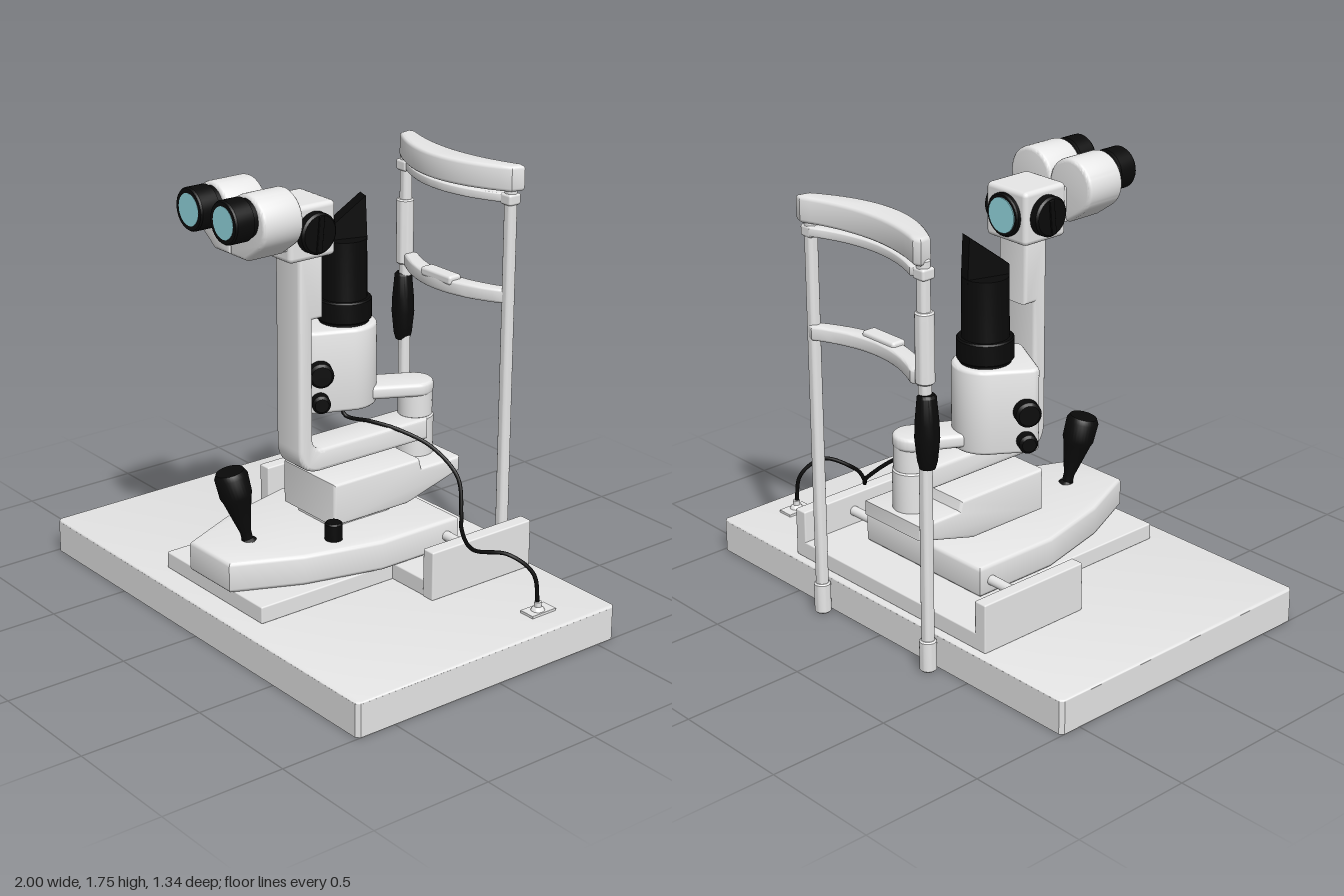
import * as THREE from 'three';
import { toCreasedNormals } from 'three/addons/utils/BufferGeometryUtils.js';
import { RoundedBoxGeometry } from 'three/addons/geometries/RoundedBoxGeometry.js';

const mat = (name, color) => Object.assign(new THREE.MeshStandardMaterial({ color }), { name });

export function createModel() {
  const M = {
    shell: mat('light grey shell', 0xf4f4f4),
    table: mat('table grey', 0xe5e5e5),
    black: mat('black rubber', 0x0a0a0a),
    glass: mat('pale blue glass', 0x98dde6),
  };
  const root = new THREE.Group();
  root.name = 'slitLamp';

  const add = (name, geo, material, parent = root) => {
    const mesh = new THREE.Mesh(geo, material);
    mesh.name = name;
    parent.add(mesh);
    return mesh;
  };
  const box = (name, x0, x1, y0, y1, z0, z1, material = M.shell, r = 0.006) => {
    const mesh = add(name, new RoundedBoxGeometry(x1 - x0, y1 - y0, z1 - z0, 2, r), material);
    mesh.position.set((x0 + x1) / 2, (y0 + y1) / 2, (z0 + z1) / 2);
    return mesh;
  };
  // Lathe about the vertical axis from [radius, height] pairs
  const turned = (name, profile, x, z, material, parent = root) => {
    const pts = profile.map(([r, y]) => new THREE.Vector2(r, y));
    const mesh = add(name, toCreasedNormals(new THREE.LatheGeometry(pts, 32), 0.6), material, parent);
    mesh.position.set(x, 0, z);
    return mesh;
  };
  const rod = (r, y0, y1, b = 0.006) => [[0, y0], [r - b, y0], [r, y0 + b], [r, y1 - b], [r - b, y1], [0, y1]];
  const poly = (pts) => new THREE.Shape(pts.map(([a, b]) => new THREE.Vector2(a, b)));
  const extrude = (shape, depth, b) => {
    const geo = new THREE.ExtrudeGeometry(shape, {
      depth: depth - 2 * b, bevelEnabled: b > 0, bevelThickness: b, bevelSize: b,
      bevelOffset: -b, bevelSegments: 3, curveSegments: 16,
    });
    return toCreasedNormals(geo.translate(0, 0, b), 0.6);
  };
  // Plan outlines are drawn as (x, -z) and rise from y0 to y1
  const plan = (name, shape, y0, y1, b, material = M.shell, parent = root) =>
    add(name, extrude(shape, y1 - y0, b).rotateX(-Math.PI / 2).translate(0, y0, 0), material, parent);
  // Side outlines are drawn as (z, y) and span x0 to x1
  const side = (name, shape, x0, x1, b) =>
    add(name, extrude(shape, x1 - x0, b).rotateY(-Math.PI / 2).translate(x1, 0, 0), M.shell);

  // Table: shell open underneath
  const rect = (i) => {
    const x = 1 - i, f = 0.67 - i, k = 0.59 - i, c = 0.015;
    return [[-x + c, -f], [x - c, -f], [x, -f + c], [x, k - c], [x - c, k], [-x + c, k], [-x, k - c], [-x, -f + c]];
  };
  const rim = poly(rect(0));
  rim.holes.push(poly(rect(0.012)));
  plan('tableSkirt', rim, 0, 0.133, 0, M.table);
  plan('tableTop', poly(rect(0)), 0.124, 0.14, 0.008, M.table);

  // Guide rail bed
  box('railBed', -0.52, 0.5, 0.14, 0.21, -0.562, -0.062);
  box('frontBed', -0.33, 0.3, 0.14, 0.21, -0.1, 0.572);
  box('railEndRight', -0.567, -0.51, 0.14, 0.342, -0.562, -0.058);
  box('railEndLeft', 0.487, 0.545, 0.14, 0.342, -0.562, -0.058);
  add('rail', new THREE.CylinderGeometry(0.02, 0.02, 1.02, 24).rotateZ(Math.PI / 2), M.shell).position.set(-0.01, 0.268, -0.31);

  // Sliding carriage
  plan('carriage', poly([[-0.13, -0.598], [0.13, -0.598], [0.25, -0.33], [0.33, -0.01], [0.33, 0.37],
    [-0.33, 0.37], [-0.33, -0.01], [-0.25, -0.33]]), 0.21, 0.335, 0.016);
  box('carriageNeck', -0.11, 0.11, 0.33, 0.4, -0.2, 0.09);
  side('armBase', poly([[0.12, 0.365], [0.12, 0.54], [-0.31, 0.54], [-0.32, 0.5], [-0.52, 0.5],
    [-0.52, 0.44], [-0.25, 0.365]]), -0.165, 0.165, 0.012);
  turned('lockKnob', rod(0.035, 0.33, 0.407), 0.195, 0.148, M.black);

  // Joystick, leaning forward
  const stick = turned('joystick', [[0.035, 0], [0.022, 0.012], [0.022, 0.04], [0.056, 0.18], [0.064, 0.2],
    [0.066, 0.28], [0.055, 0.3], [0, 0.3]], 0, 0, M.black);
  stick.position.set(-0.005, 0.33, 0.412);
  stick.quaternion.setFromUnitVectors(new THREE.Vector3(0, 1, 0), new THREE.Vector3(-0.035, 0.29, 0.055).normalize());

  // Pivot and microscope arm
  turned('pivotLower', rod(0.075, 0.49, 0.665), 0, -0.418, M.shell);
  turned('pivotUpper', rod(0.07, 0.66, 0.805), 0, -0.418, M.shell);
  const arm = new THREE.Shape();
  arm.moveTo(-0.42, 0.575).lineTo(0.12, 0.575).quadraticCurveTo(0.225, 0.575, 0.225, 0.68);
  arm.lineTo(0.225, 1.47).lineTo(0.11, 1.47).lineTo(0.11, 1.2).lineTo(0.16, 1.2).lineTo(0.16, 0.72);
  arm.quadraticCurveTo(0.16, 0.665, 0.1, 0.665).lineTo(-0.42, 0.665);
  side('microscopeArm', arm, -0.068, 0.085, 0.015);

  // Lamp assembly, turned about its pivot; local +z is the lamp front
  const lamp = new THREE.Group();
  lamp.name = 'lamp';
  lamp.position.set(-0.138, 0, -0.163);
  lamp.rotation.y = -0.49;
  root.add(lamp);
  const link = new THREE.Shape();
  link.absarc(0, 0.285, 0.078, 0, Math.PI).lineTo(-0.078, 0);
  link.absarc(0, 0, 0.078, Math.PI, 2 * Math.PI);
  plan('lampArm', link, 0.755, 0.81, 0.015, M.shell, lamp);
  const body = new THREE.Shape();
  body.moveTo(-0.11, -0.178).lineTo(0.11, -0.178).quadraticCurveTo(0.143, -0.178, 0.143, -0.135);
  body.lineTo(0.13, 0).absarc(0, 0, 0.13, 0, Math.PI).lineTo(-0.143, -0.135);
  body.quadraticCurveTo(-0.143, -0.178, -0.11, -0.178);
  plan('lampHousing', body, 0.735, 1.075, 0.014, M.shell, lamp);
  turned('lampCollar', rod(0.11, 1.085, 1.175), 0, 0, M.black, lamp);
  turned('lampTower', [[0.1, 1.07], [0.092, 1.17], [0.09, 1.415], [0, 1.415]], 0, 0, M.black, lamp);
  const fin = add('mirrorHolder', extrude(poly([[0.086, 1.4], [0.084, 1.455], [-0.078, 1.58], [-0.086, 1.4]]), 0.06, 0)
    .translate(0, 0, -0.03).rotateY(-Math.PI / 2), M.black, lamp);
  fin.rotation.y = 0.19;
  for (const s of [-1, 1]) for (const [r, y] of [[0.05, 0.91], [0.037, 0.79]]) {
    const knob = turned('lampKnob', rod(r, 0, 0.062, 0.01), 0, 0, M.black, lamp);
    knob.position.set(s * 0.13, y, 0.12);
    knob.rotation.z = -s * Math.PI / 2;
  }

  // Lamp cable and table outlet
  turned('cablePlug', rod(0.016, 0.7, 0.75, 0.003), -0.13, -0.14, M.shell);
  const path = [[-0.13, 0.72, -0.14], [-0.11, 0.68, -0.15], [0, 0.68, -0.19], [0.09, 0.66, -0.25], [0.2, 0.6, -0.335],
    [0.315, 0.5, -0.375], [0.44, 0.4, -0.29], [0.5, 0.375, -0.24], [0.645, 0.36, -0.175], [0.78, 0.375, -0.23],
    [0.845, 0.3, -0.3], [0.86, 0.16, -0.315]].map((p) => new THREE.Vector3(...p));
  add('cable', new THREE.TubeGeometry(new THREE.CatmullRomCurve3(path), 120, 0.008, 10), M.black);
  box('outletPlate', 0.822, 0.892, 0.135, 0.15, -0.38, -0.26, M.shell, 0.002);
  turned('outletPlug', [[0.028, 0.148], [0.022, 0.16], [0.014, 0.165], [0.014, 0.185], [0, 0.185]], 0.86, -0.315, M.shell);

  // Microscope head with side drums and objective lens
  const cx = 0.008;
  box('microscopeHead', cx - 0.11, cx + 0.11, 1.452, 1.666, 0.075, 0.292, M.shell, 0.02);
  for (const s of [-1, 1]) {
    const drum = turned('magnificationDrum', rod(0.08, 0, 0.048, 0.008), 0, 0, M.black);
    drum.position.set(cx + s * 0.1, 1.56, 0.18);
    drum.rotation.z = -s * Math.PI / 2;
    const grip = box('drumGrip', -0.008, 0.008, -0.012, 0.012, -0.07, 0.07, M.black, 0.003);
    grip.position.set(cx + s * 0.147, 1.56, 0.18);
    grip.rotation.x = Math.PI / 2 - 0.1;
  }
  const bezel = turned('objectiveBezel', rod(0.086, 0, 0.025), 0, 0, M.black);
  bezel.position.set(cx, 1.56, 0.082);
  bezel.rotation.x = -Math.PI / 2;
  add('objectiveLens', new THREE.CylinderGeometry(0.07, 0.07, 0.006, 32).rotateX(Math.PI / 2), M.glass).position.set(cx, 1.56, 0.056);

  // Binocular tubes: the outline is mirrored for the two sides
  box('binocularJoint', -0.09, 0.1, 1.5, 1.64, 0.27, 0.32);
  for (const s of [-1, 1]) {
    const tube = new THREE.Shape();
    tube.moveTo(0, 1.5).lineTo(0.1, 1.5);
    tube.absarc(0.108, 1.643, 0.112, -0.9, Math.PI).lineTo(0, 1.5);
    const pts = tube.getPoints(24).map((p) => [p.x * s + 0.002, p.y]);
    add('binocularTube', extrude(poly(pts), 0.178, 0.016), M.shell).position.z = 0.303;
    const cup = turned('eyecup', [[0.074, 0], [0.074, 0.02], [0.083, 0.025], [0.083, 0.1], [0.078, 0.107],
      [0.06, 0.107], [0.06, 0.09], [0, 0.09]], 0, 0, M.black);
    cup.position.set(s * 0.108 + 0.002, 1.667, 0.477);
    cup.rotation.x = Math.PI / 2;
    add('eyepieceLens', new THREE.CylinderGeometry(0.062, 0.062, 0.008, 32).rotateX(Math.PI / 2), M.glass)
      .position.set(s * 0.108 + 0.002, 1.667, 0.581);
  }

  // Head rest posts
  for (const x of [-0.322, 0.305]) {
    turned('postFoot', rod(0.033, 0, 0.13), x, -0.627, M.shell);
    turned('headRestPost', rod(0.025, 0.1, 1.64), x, -0.627, M.shell);
    box('postBracket', x - 0.03, x + 0.03, 1.565, 1.61, -0.655, -0.595, M.shell, 0.01);
  }
  turned('postSleeve', rod(0.036, 1.17, 1.445), -0.325, -0.627, M.shell);
  turned('postGrip', [[0, 0.835], [0.03, 0.84], [0.038, 0.87], [0.047, 0.96], [0.045, 1.02], [0.036, 1.12], [0.028, 1.13], [0, 1.13]],
    -0.332, -0.627, M.black);

  // Forehead band, strap and chin rest: smooth arcs bowed towards the front
  const bow = (x, ends, thick, back, front) => {
    const s = new THREE.Shape();
    s.moveTo(-x, ends - thick).quadraticCurveTo(0, 2 * front - ends + thick, x, ends - thick);
    s.lineTo(x + 0.012, ends - 0.01).lineTo(x - 0.02, ends);
    s.quadraticCurveTo(0, 2 * back - ends, -x + 0.02, ends).lineTo(-x - 0.012, ends - 0.01);
    return s;
  };
  plan('foreheadBand', bow(0.335, 0.668, 0.065, 0.605, 0.492), 1.62, 1.722, 0.014);
  plan('foreheadStrap', bow(0.3, 0.655, 0.05, 0.59, 0.518), 1.572, 1.608, 0.006);
  plan('chinRest', bow(0.3, 0.66, 0.055, 0.585, 0.512), 1.163, 1.22, 0.01);
  box('chinPad', -0.09, 0.09, 1.2, 1.238, -0.575, -0.512, M.shell, 0.012);
  return root;
}
